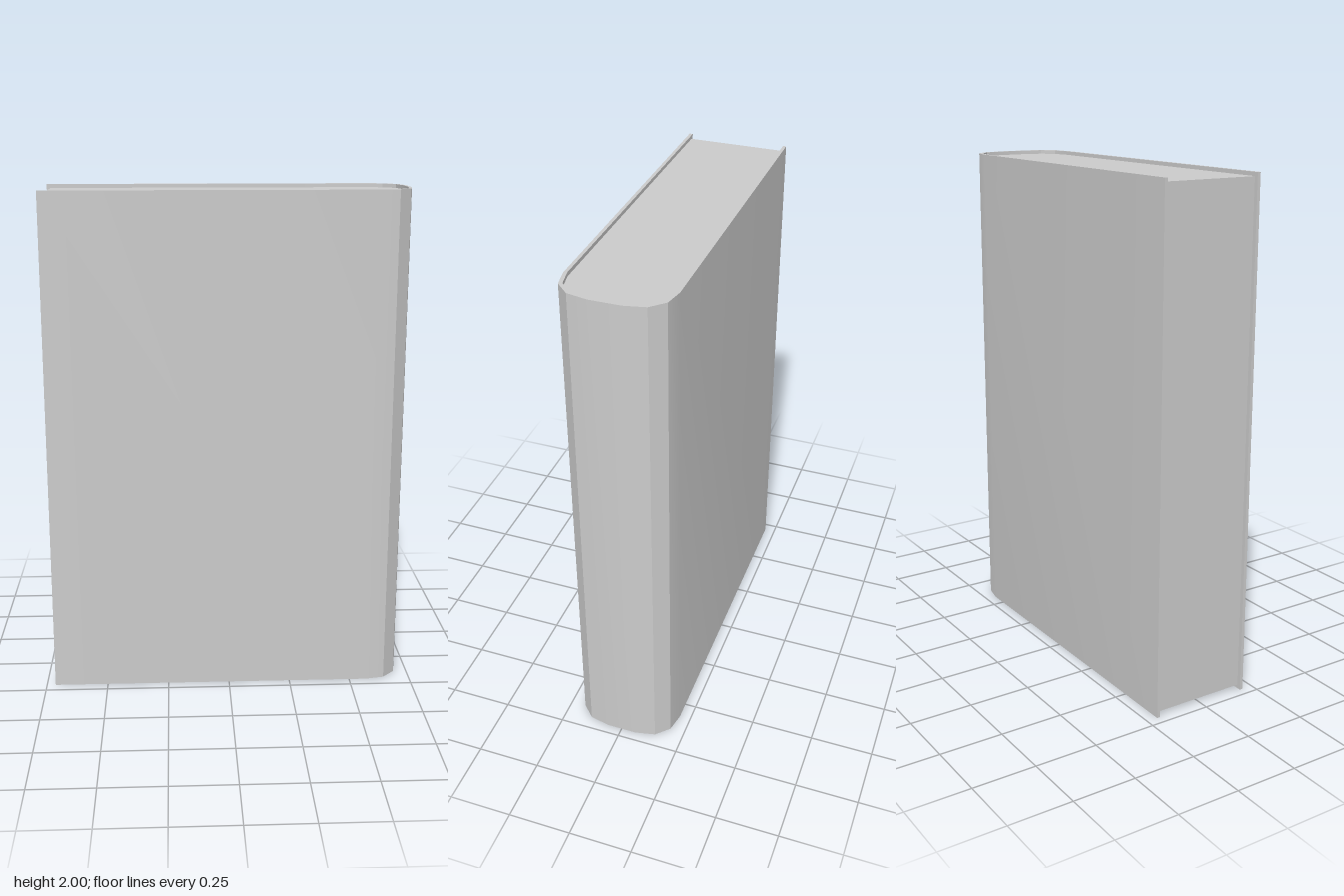
import * as THREE from 'three';
import { toCreasedNormals } from 'three/addons/utils/BufferGeometryUtils.js';

const HEIGHT = 2;
const PAGE_INSET = 0.015;

// Half profiles (x, z) running from the fore-edge round to the spine
const outerHalf = [[-0.715, 0.205], [0.57, 0.205], [0.645, 0.19], [0.695, 0.14], [0.712, 0.06]];
const innerHalf = [[-0.715, 0.192], [0.565, 0.192], [0.637, 0.177], [0.684, 0.133], [0.7, 0.057]];
const pageHalf = [[-0.7, 0.192], ...innerHalf.slice(1)];

// Mirror a half profile across z = 0
const mirrored = (half) => [...half, ...half.map(([x, z]) => [x, -z]).reverse()];

// Extrude an (x, z) outline upwards from y0 to y1, keeping the sharper folds crisp
function upright(name, outline, y0, y1, material) {
  const shape = new THREE.Shape(outline.map(([x, z]) => new THREE.Vector2(x, -z)));
  const extruded = new THREE.ExtrudeGeometry(shape, { depth: y1 - y0, bevelEnabled: false });
  extruded.rotateX(-Math.PI / 2).translate(0, y0, 0);
  const mesh = new THREE.Mesh(toCreasedNormals(extruded, 0.5), material);
  mesh.name = name;
  return mesh;
}

export function createModel() {
  const book = new THREE.Group();
  book.name = 'book';
  const material = new THREE.MeshStandardMaterial({ color: 0xcccccc });

  // Thin cover wrapping both boards and the rounded spine
  const coverOutline = [...mirrored(outerHalf), ...mirrored(innerHalf).reverse()];
  book.add(upright('cover', coverOutline, 0, HEIGHT, material));

  // Page block, set slightly inside the cover
  book.add(upright('pages', mirrored(pageHalf), PAGE_INSET, HEIGHT - PAGE_INSET, material));

  return book;
}
